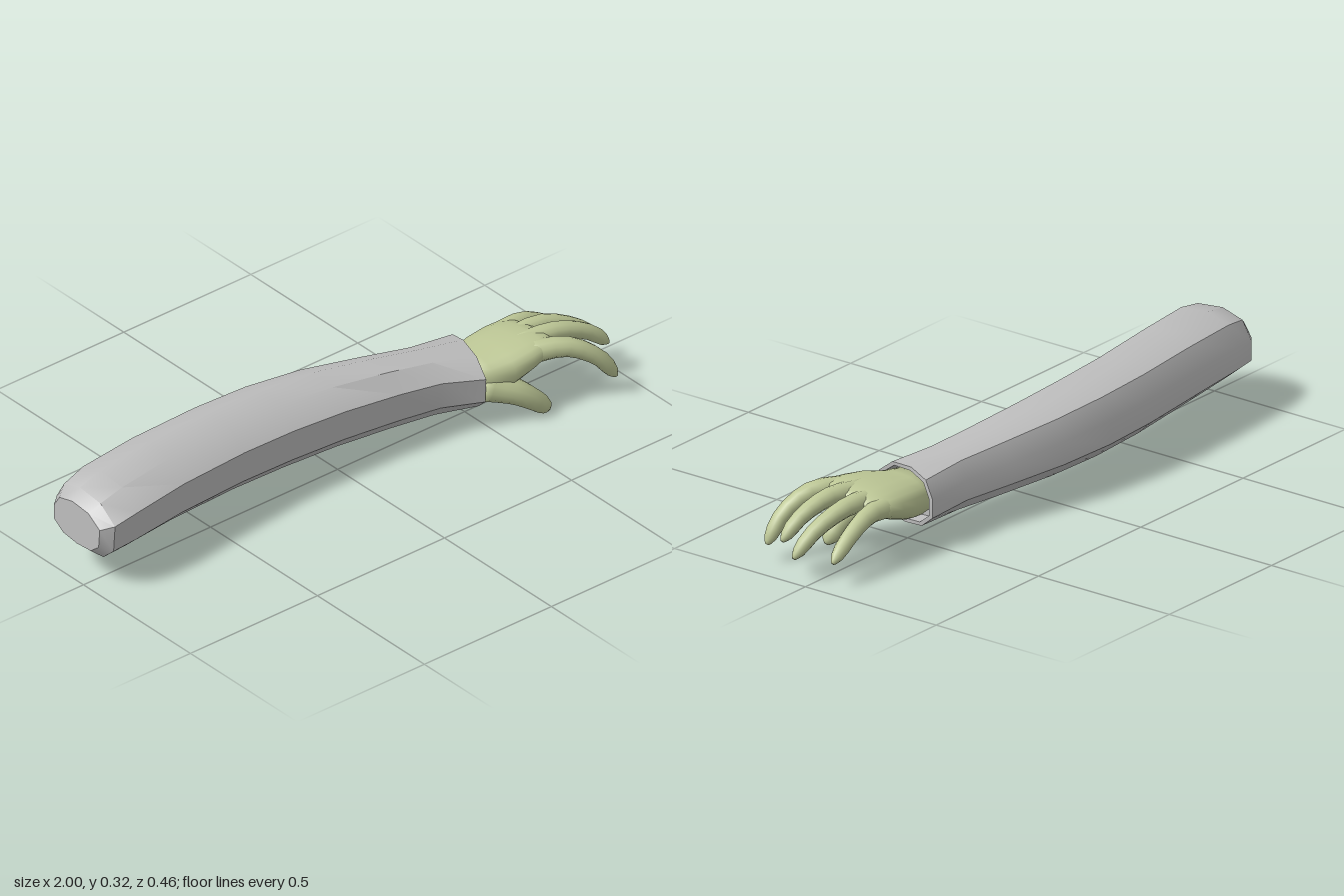
import * as THREE from 'three';
import { toCreasedNormals } from 'three/addons/utils/BufferGeometryUtils.js';

// Skin a list of rings (each running front, top, back, bottom) and close both ends
function loft(rings) {
  const n = rings[0].length, pos = [], idx = [];
  rings.forEach(r => r.forEach(p => pos.push(p.x, p.y, p.z)));
  for (let i = 0; i < rings.length - 1; i++) {
    for (let j = 0; j < n; j++) {
      const a = i * n + j, b = i * n + (j + 1) % n;
      idx.push(a, a + n, b, b, a + n, b + n);
    }
  }
  [0, rings.length - 1].forEach((k, end) => {
    const c = new THREE.Vector3();
    rings[k].forEach(p => c.addScaledVector(p, 1 / n));
    const ci = pos.length / 3;
    pos.push(c.x, c.y, c.z);
    for (let j = 0; j < n; j++) {
      const a = k * n + j, b = k * n + (j + 1) % n;
      if (end) idx.push(ci, b, a); else idx.push(ci, a, b);
    }
  });
  const g = new THREE.BufferGeometry();
  g.setAttribute('position', new THREE.Float32BufferAttribute(pos, 3));
  g.setIndex(idx);
  g.computeVertexNormals();
  return g;
}

// Sleeve cross-section as [z, y] in a unit box
const SECTION = [[1, 0.4], [0.5, 0.9], [-0.2, 1], [-0.75, 0.78], [-1, 0.2],
  [-1, -0.45], [-0.6, -0.88], [0, -1], [0.6, -0.93], [0.95, -0.5]];

// Sleeve stations: x, back z, front z, bottom y, top y, slant of the ring
const SLEEVE = [
  [-0.995, -0.145, 0.07, 0.13, 0.27, 0],
  [-0.96, -0.172, 0.1, 0.1, 0.302, 0],
  [-0.87, -0.192, 0.098, 0.1, 0.32, 0],
  [-0.66, -0.212, 0.068, 0.095, 0.325, 0],
  [-0.4, -0.228, 0.042, 0.083, 0.318, 0],
  [-0.2, -0.228, 0.036, 0.075, 0.31, 0],
  [0, -0.208, 0.04, 0.07, 0.296, 0],
  [0.2, -0.165, 0.054, 0.064, 0.276, 0],
  [0.36, -0.126, 0.072, 0.06, 0.258, 0.01],
  [0.508, -0.123, 0.125, 0.056, 0.242, 0.028],
  // rim and recessed inside of the cuff
  [0.508, -0.11, 0.112, 0.068, 0.23, 0.028],
  [0.46, -0.105, 0.1, 0.07, 0.228, 0.02],
];

function sleeveGeometry() {
  const rings = SLEEVE.map(([x, z0, z1, y0, y1, slant]) => SECTION.map(([u, v]) =>
    new THREE.Vector3(x - u * slant, (y0 + y1) / 2 + v * (y1 - y0) / 2, (z0 + z1) / 2 + u * (z1 - z0) / 2)));
  return toCreasedNormals(loft(rings), 0.62);
}

// Palm stations: x, back z, front z, bottom y, top y
const PALM = [
  [0.45, -0.075, 0.095, 0.085, 0.21],
  [0.52, -0.088, 0.118, 0.085, 0.216],
  [0.58, -0.1, 0.145, 0.098, 0.228],
  [0.65, -0.104, 0.152, 0.125, 0.235],
  [0.7, -0.1, 0.15, 0.148, 0.235],
  [0.735, -0.085, 0.135, 0.162, 0.228],
  [0.755, -0.055, 0.1, 0.18, 0.216],
];

function palmGeometry() {
  const sides = 20;
  const soft = t => Math.sign(t) * Math.abs(t) ** 0.8;
  const rings = PALM.map(([x, z0, z1, y0, y1]) => Array.from({ length: sides }, (_, j) => {
    const a = j / sides * Math.PI * 2;
    const z = (z0 + z1) / 2 + soft(Math.cos(a)) * (z1 - z0) / 2;
    const y = (y0 + y1) / 2 + soft(Math.sin(a)) * (y1 - y0) / 2;
    // the little-finger side hangs lower
    return new THREE.Vector3(x, y + 0.14 * (z - 0.05) * (x - 0.45) / 0.3, z);
  }));
  return loft(rings);
}

// Rounded tapering finger along a smooth path
function fingerGeometry(path, rBase, rTip) {
  const curve = new THREE.CatmullRomCurve3(path.map(p => new THREE.Vector3(...p)));
  const up = new THREE.Vector3(0, 1, 0), sides = 12;
  const stops = [0, 0.12, 0.25, 0.38, 0.5, 0.62, 0.74, 0.85, 0.93, 0.98, 1];
  const rings = stops.map(t => {
    const p = curve.getPointAt(t), dir = curve.getTangentAt(t);
    const side = dir.clone().cross(up).normalize(), top = side.clone().cross(dir);
    const round = t > 0.85 ? Math.sqrt(Math.max(0.08, 1 - ((t - 0.85) / 0.15) ** 2)) : 1;
    const r = THREE.MathUtils.lerp(rBase, rTip, t) * round;
    return Array.from({ length: sides }, (_, j) => {
      const a = j / sides * Math.PI * 2;
      return p.clone().addScaledVector(side, Math.cos(a) * r).addScaledVector(top, Math.sin(a) * r);
    });
  });
  return loft(rings);
}

// Name, path, base radius, tip radius
const FINGERS = [
  ['indexFinger', [[0.66, 0.195, 0.1], [0.77, 0.2, 0.155], [0.86, 0.145, 0.195], [0.92, 0.062, 0.21]], 0.037, 0.022],
  ['middleFinger', [[0.66, 0.2, 0.05], [0.79, 0.208, 0.075], [0.9, 0.172, 0.097], [0.97, 0.112, 0.113]], 0.034, 0.022],
  ['ringFinger', [[0.66, 0.188, -0.005], [0.8, 0.195, 0.003], [0.92, 0.147, 0.03], [0.997, 0.08, 0.048]], 0.034, 0.022],
  ['littleFinger', [[0.62, 0.165, -0.062], [0.77, 0.18, -0.065], [0.87, 0.138, -0.066], [0.955, 0.08, -0.07]], 0.036, 0.021],
  ['thumb', [[0.51, 0.13, 0.07], [0.59, 0.1, 0.125], [0.65, 0.055, 0.15], [0.7, 0.008, 0.155]], 0.052, 0.026],
];

export function createModel() {
  const fabric = new THREE.MeshStandardMaterial({ color: 0xbdbdbd });
  fabric.name = 'grey fabric';
  const skin = new THREE.MeshStandardMaterial({ color: 0xbdc796 });
  skin.name = 'pale green skin';

  const model = new THREE.Group();
  model.name = 'sleevedArm';
  const add = (parent, name, geometry, material) => {
    const mesh = new THREE.Mesh(geometry, material);
    mesh.name = name;
    parent.add(mesh);
  };

  add(model, 'sleeve', sleeveGeometry(), fabric);

  const hand = new THREE.Group();
  hand.name = 'hand';
  model.add(hand);
  add(hand, 'palm', palmGeometry(), skin);
  for (const [name, path, rBase, rTip] of FINGERS) add(hand, name, fingerGeometry(path, rBase, rTip), skin);

  return model;
}
